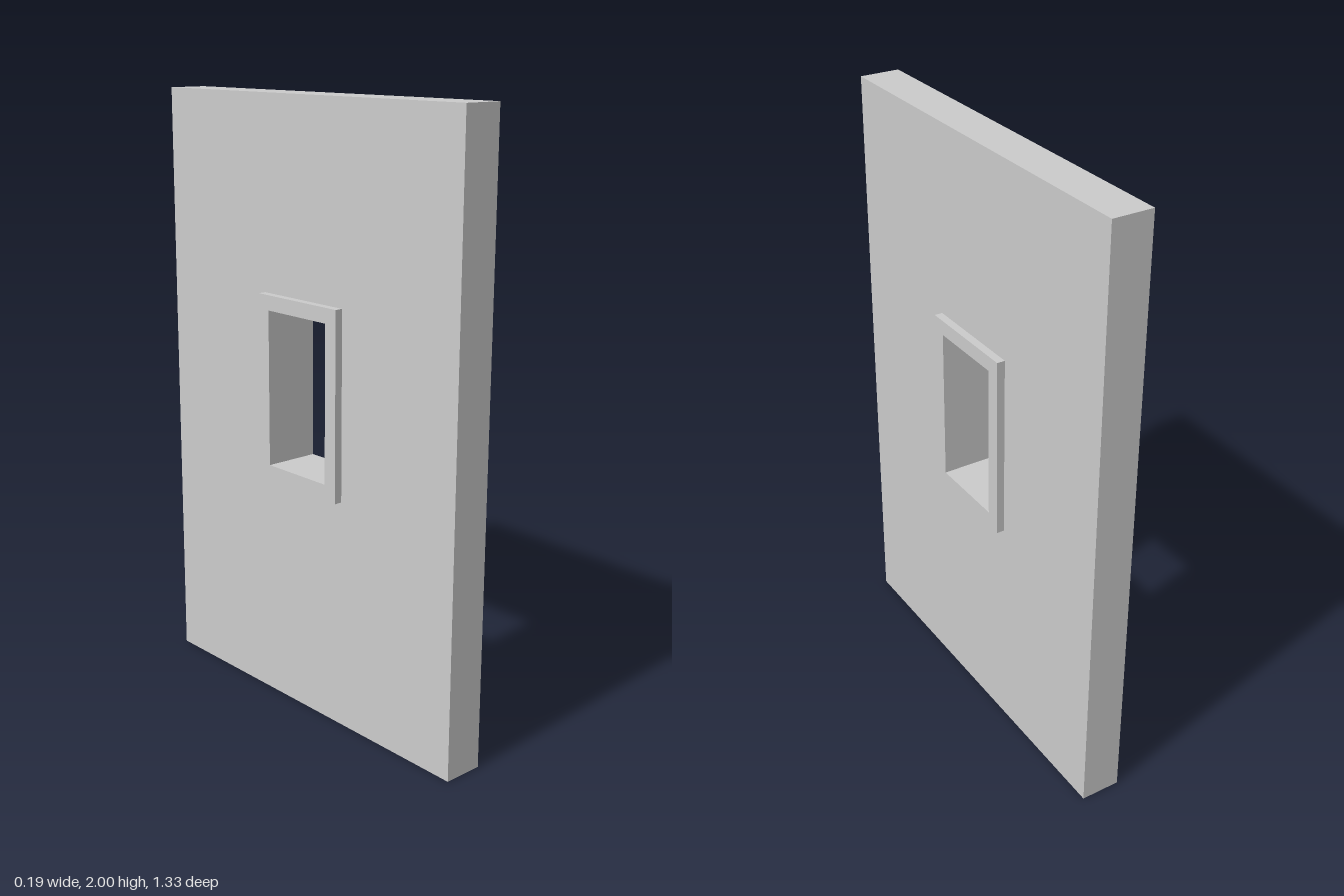
import * as THREE from 'three';

const material = new THREE.MeshStandardMaterial({ color: 0xcccccc, flatShading: true });

// Corner points of a rectangle, width along z and height along y
function rectangle({ halfWidth, bottom, top }) {
  return [[-halfWidth, bottom], [halfWidth, bottom], [halfWidth, top], [-halfWidth, top]]
    .map(([x, y]) => new THREE.Vector2(x, y));
}

// Rectangular slab with a rectangular opening, its thickness centred on x = 0
function piercedSlab(name, outer, opening, thickness) {
  const shape = new THREE.Shape(rectangle(outer));
  shape.holes.push(new THREE.Path(rectangle(opening).reverse()));
  const geometry = new THREE.ExtrudeGeometry(shape, { depth: thickness, bevelEnabled: false });
  geometry.translate(0, 0, -thickness / 2).rotateY(-Math.PI / 2);
  const mesh = new THREE.Mesh(geometry, material);
  mesh.name = name;
  return mesh;
}

export function createModel() {
  const wallOutline = { halfWidth: 0.667, bottom: 0, top: 2 };
  const frameOutline = { halfWidth: 0.183, bottom: 0.763, top: 1.377 };
  const windowOpening = { halfWidth: 0.135, bottom: 0.815, top: 1.328 };

  const model = new THREE.Group();
  model.name = 'wallWithWindow';
  model.add(
    // Wall panel, cut out to receive the frame
    piercedSlab('wall', wallOutline, frameOutline, 0.133),
    // Frame lining the cut-out and standing proud on both faces
    piercedSlab('windowFrame', frameOutline, windowOpening, 0.186),
  );
  return model;
}
